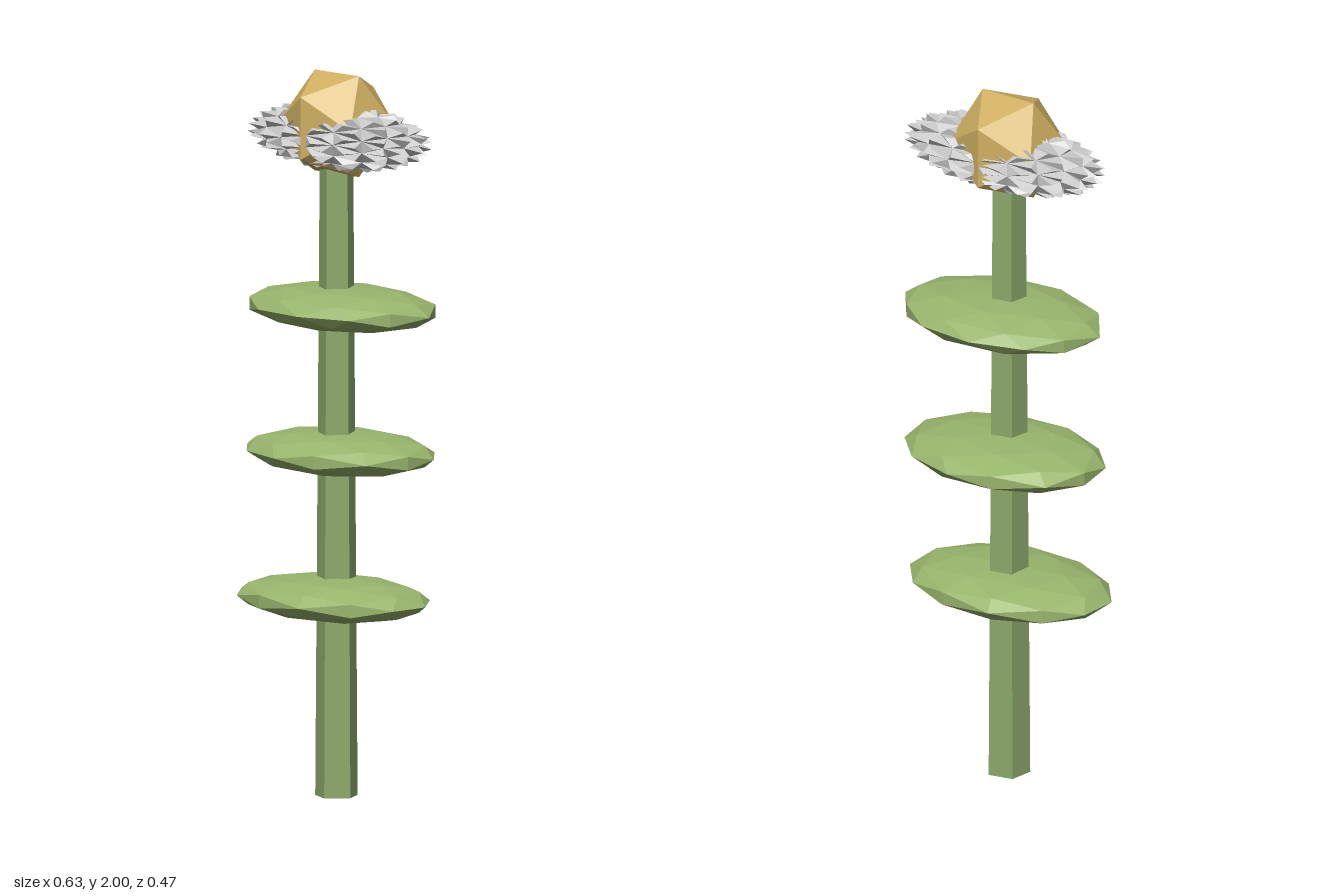
import * as THREE from 'three';

const mat = (color) => new THREE.MeshStandardMaterial({ color, flatShading: true });

// Ellipsoid covered with one small pyramid spike per facet
function spikyEllipsoid(rx, ry, rz, base, leftLimit) {
  const src = new THREE.IcosahedronGeometry(1, 2).getAttribute('position');
  const out = [];
  const push = (v) => out.push(Math.max(v.x * rx, leftLimit), v.y * ry, v.z * rz);
  for (let i = 0; i < src.count; i += 3) {
    const c = [0, 1, 2].map((k) => new THREE.Vector3().fromBufferAttribute(src, i + k).multiplyScalar(base));
    const tip = c[0].clone().add(c[1]).add(c[2]).normalize();
    for (let k = 0; k < 3; k++) [c[k], c[(k + 1) % 3], tip].forEach(push);
  }
  const g = new THREE.BufferGeometry();
  g.setAttribute('position', new THREE.Float32BufferAttribute(out, 3));
  g.computeVertexNormals();
  return g;
}

export function createModel() {
  const group = new THREE.Group();
  const add = (name, geometry, material, x, y, z) => {
    const mesh = new THREE.Mesh(geometry, material);
    mesh.name = name;
    mesh.position.set(x, y, z);
    group.add(mesh);
  };
  const green = mat(0x98b56c);

  // Tapered five-sided stem
  add('stem', new THREE.CylinderGeometry(0.048, 0.061, 1.8, 5).rotateY(0.2), mat(0x8ca86a), -0.01, 0.9, 0.005);

  // Three flattened faceted leaf discs: x, y, z, half width, half depth, facet turn
  [
    [-0.008, 0.55, 0.02, 0.313, 0.218, 0.25],
    [-0.014, 0.95, -0.014, 0.305, 0.222, 0.9],
    [0, 1.352, -0.007, 0.313, 0.216, 1.7],
  ].forEach(([x, y, z, rx, rz, turn], i) => {
    const g = new THREE.IcosahedronGeometry(1, 1).rotateY(turn).scale(rx, 0.06, rz);
    add(`leafDisc${i + 1}`, g, green, x, y, z);
  });

  // Spiky petal ruff, blunt at its right end
  add('petalRuff', spikyEllipsoid(0.325, 0.093, 0.154, 0.87, -0.312), mat(0xcccccc), 0, 1.825, 0.003);

  // Faceted flower centre
  add('flowerCentre', new THREE.IcosahedronGeometry(0.164, 0), mat(0xd0b062), -0.012, 1.86, 0.002);

  return group;
}
